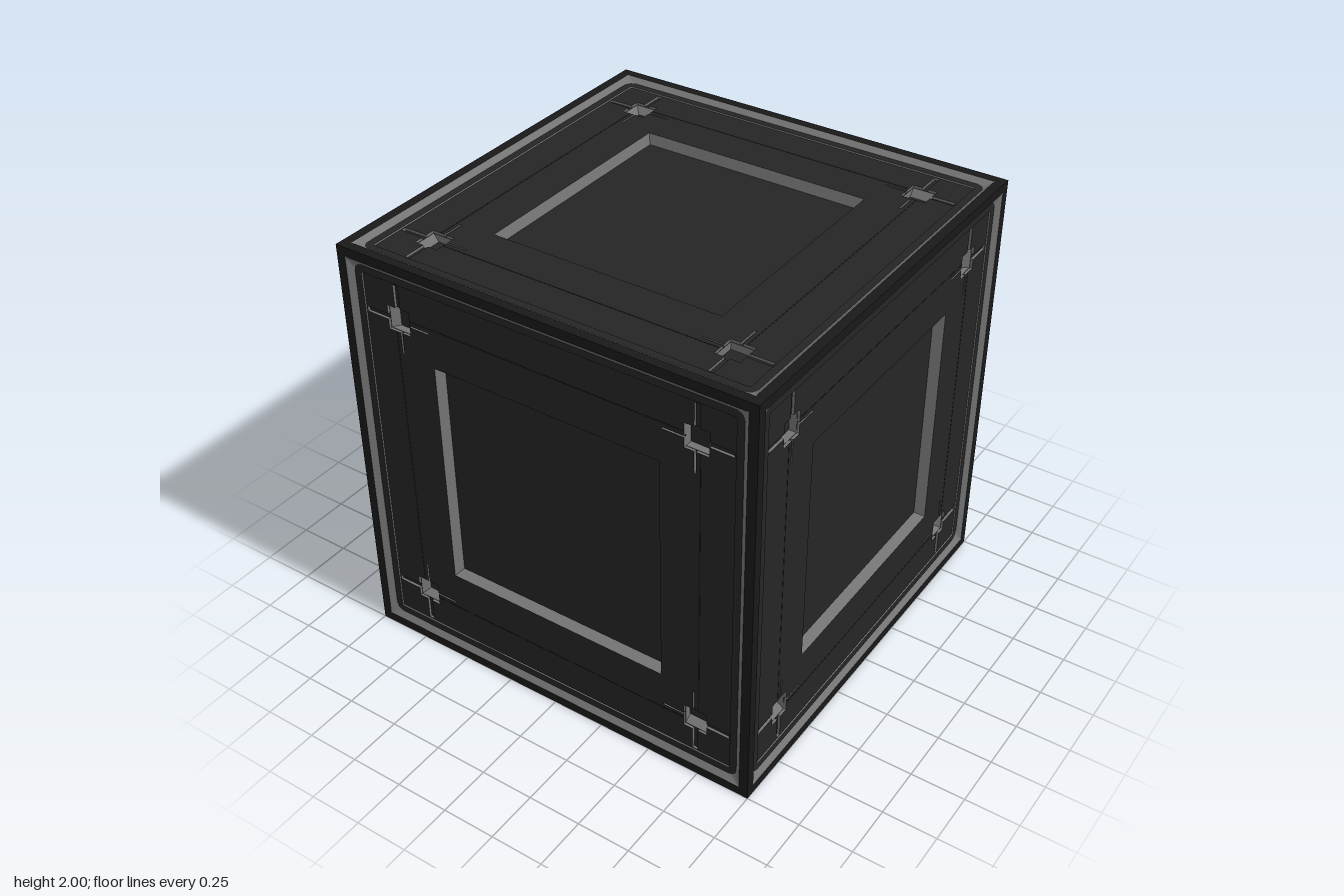
import * as THREE from 'three';

const std = (name, color) => {
  const m = new THREE.MeshStandardMaterial({ color });
  m.name = name;
  return m;
};

// Square outline with rounded corners, counter-clockwise, half-size h
function roundedSquare(h, r, n = 5) {
  const pts = [];
  for (let c = 0; c < 4; c++) {
    const mid = Math.PI / 4 + c * Math.PI / 2;
    const cx = Math.sign(Math.cos(mid)) * (h - r), cy = Math.sign(Math.sin(mid)) * (h - r);
    for (let i = 0; i <= n; i++) {
      const a = c * Math.PI / 2 + (i / n) * Math.PI / 2;
      pts.push(new THREE.Vector2(cx + Math.cos(a) * r, cy + Math.sin(a) * r));
    }
  }
  return pts;
}

// Rectangle outline, counter-clockwise
const rect = (x0, y0, x1, y1) =>
  [[x0, y0], [x1, y0], [x1, y1], [x0, y1]].map(p => new THREE.Vector2(...p));

// Mirror an outline into a quadrant and keep it counter-clockwise
function mirrored(pts, sx, sy) {
  const out = pts.map(p => new THREE.Vector2(p.x * sx, p.y * sy));
  return sx * sy < 0 ? out.reverse() : out;
}

// Flat sheet with openings at depth z
function sheet(outline, holes, z) {
  const shape = new THREE.Shape(outline);
  shape.holes = holes.map(h => new THREE.Path(h));
  return new THREE.ShapeGeometry(shape).translate(0, 0, z);
}

// Inward-facing wall running from an upper outline to a lower one
function wall(top, zTop, bottom, zBottom) {
  const pos = [];
  top.forEach((a, i) => {
    const j = (i + 1) % top.length;
    const A = [a.x, a.y, zTop], B = [top[j].x, top[j].y, zTop];
    const C = [bottom[j].x, bottom[j].y, zBottom], D = [bottom[i].x, bottom[i].y, zBottom];
    pos.push(...A, ...B, ...C, ...A, ...C, ...D);
  });
  const g = new THREE.BufferGeometry();
  g.setAttribute('position', new THREE.Float32BufferAttribute(pos, 3));
  g.computeVertexNormals();
  return g;
}

export function createModel() {
  const panelMat = std('dark panel', 0x252525);
  const rimMat = std('black rim', 0x191919);
  const greyMat = std('grey edge', 0x747474);

  const Z = { rim: 1, border: 0.98, panel: 0.975, groove: 0.963, socket: 0.93, recess: 0.925 };
  const parts = [];
  const add = (name, geometry, material) => parts.push({ name, geometry, material });

  // Outer rim and the sloped band inside it
  const bandOuter = roundedSquare(0.957, 0.004), bandInner = roundedSquare(0.93, 0.035);
  add('rim', sheet(rect(-1, -1, 1, 1), [bandOuter], Z.rim), rimMat);
  add('rimBevel', wall(bandOuter, Z.rim, bandInner, Z.border), greyMat);

  // Border with a fine step down to the main panel
  const stepOuter = roundedSquare(0.896, 0.008), stepInner = roundedSquare(0.893, 0.006);
  add('panelBorder', sheet(bandInner, [stepOuter], Z.border), panelMat);
  add('panelStep', wall(stepOuter, Z.border, stepInner, Z.panel), greyMat);

  // Central square recess
  const recessTop = rect(-0.552, -0.552, 0.552, 0.552);
  const recessFloor = rect(-0.54, -0.54, 0.54, 0.54);
  add('recessWall', wall(recessTop, Z.panel, recessFloor, Z.recess), greyMat);
  add('recessFloor', sheet(recessFloor, [], Z.recess), panelMat);

  // Corner sockets with crossing grooves
  const lo = 0.665, hi = 0.778, a = 0.71, b = 0.735, t = 0.718, end = 0.888, start = 0.565;
  const cross = [
    [a, start], [t, start], [t, lo], [hi, lo], [hi, a], [end, a], [end, b], [hi, b], [hi, hi],
    [b, hi], [b, end], [a, end], [a, hi], [lo, hi], [lo, t], [start, t], [start, a], [lo, a],
    [lo, lo], [a, lo],
  ].map(p => new THREE.Vector2(...p));
  const e = 0.002; // keeps the socket just inside the groove outline
  const socketTop = rect(lo + e, lo + e, hi - e, hi - e);
  const socketFloor = rect(lo + e, lo + e, 0.752, 0.752);
  const crosses = [];
  for (const sx of [-1, 1]) for (const sy of [-1, 1]) {
    const c = mirrored(cross, sx, sy);
    const s = mirrored(socketTop, sx, sy), f = mirrored(socketFloor, sx, sy);
    crosses.push(c);
    add('grooveWall', wall(c, Z.panel, c, Z.groove), greyMat);
    add('grooveFloor', sheet(c, [s], Z.groove), panelMat);
    add('socketWall', wall(s, Z.groove, f, Z.socket), greyMat);
    add('socketFloor', sheet(f, [], Z.socket), panelMat);
  }
  add('mainPanel', sheet(stepInner, [recessTop, ...crosses], Z.panel), panelMat);

  // Thin seams joining the sockets
  for (let k = 0; k < 4; k++) {
    const seam = new THREE.BoxGeometry(1.32, 0.005, 0.002);
    add('seam', seam.translate(0, 0.738, Z.panel).rotateZ(k * Math.PI / 2), rimMat);
  }

  // The same face on all six sides of the cube
  const model = new THREE.Group();
  model.name = 'panelledCube';
  const q = Math.PI / 2;
  const sides = {
    frontFace: [0, 0], leftFace: [0, q], backFace: [0, 2 * q], rightFace: [0, -q],
    topFace: [-q, 0], bottomFace: [q, 0],
  };
  for (const [name, [rx, ry]] of Object.entries(sides)) {
    const face = new THREE.Group();
    face.name = name;
    for (const p of parts) {
      const mesh = new THREE.Mesh(p.geometry, p.material);
      mesh.name = p.name;
      face.add(mesh);
    }
    face.rotation.set(rx, ry, 0);
    face.position.y = 1;
    model.add(face);
  }
  return model;
}
